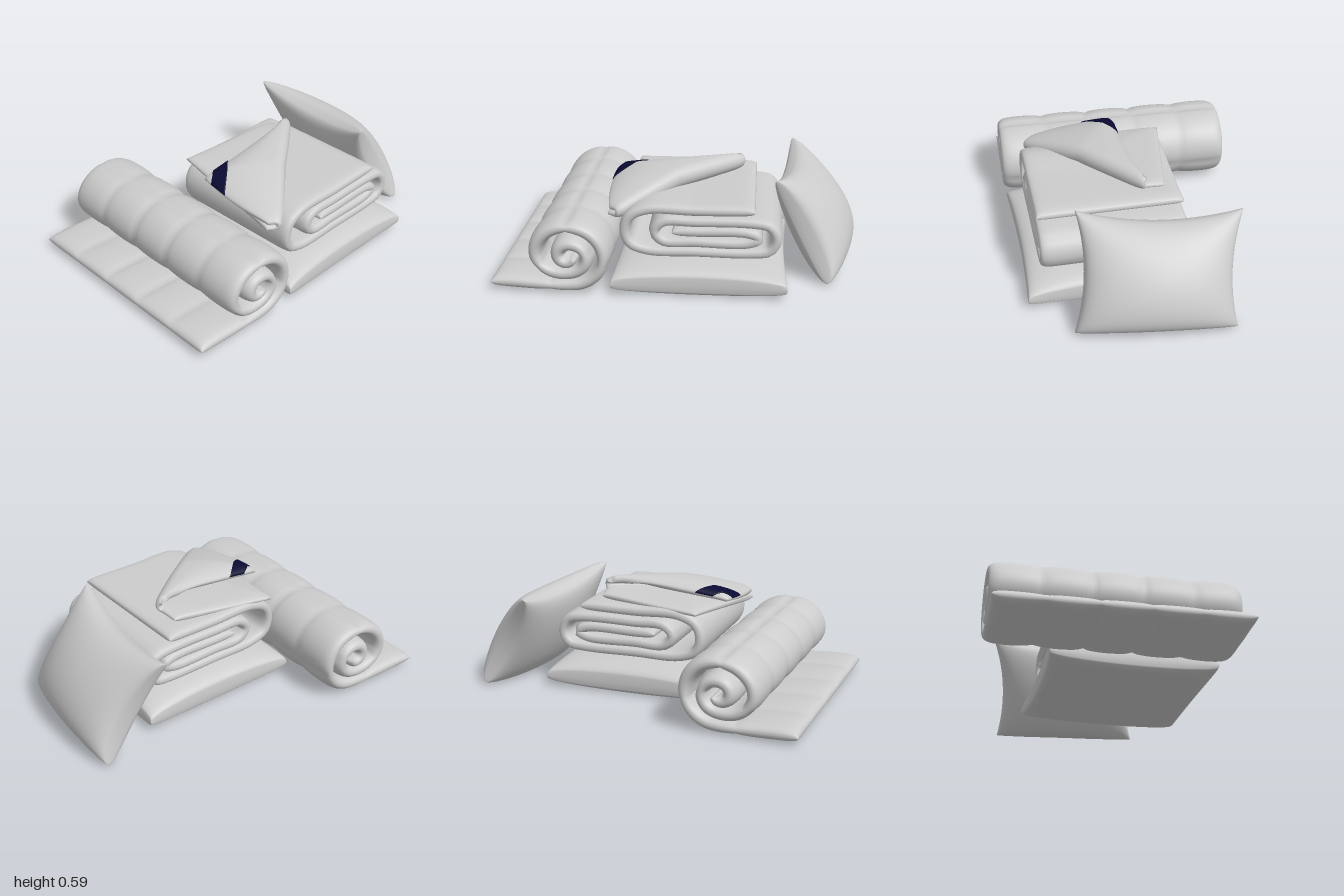
import * as THREE from 'three';
import { mergeVertices } from 'three/addons/utils/BufferGeometryUtils.js';

const V = (x, y, z) => new THREE.Vector3(x, y, z);
const { lerp, smoothstep } = THREE.MathUtils;
const arch = (t) => Math.max(0, Math.sin(Math.PI * t));
const rounded = (t, n) => Math.sqrt(Math.max(0, 1 - Math.abs(2 * t - 1) ** n));

// Unit normal of a parametric surface by finite differences
function normalAt(point, u, v) {
  const e = 0.002;
  const c = (t) => Math.min(1, Math.max(0, t));
  const du = point(c(u + e), v).sub(point(c(u - e), v));
  const dv = point(u, c(v + e)).sub(point(u, c(v - e)));
  return du.cross(dv).normalize();
}

// Closed padded sheet: a centre surface thickened to both sides, resting on the floor
function paddedSheet(point, up, down, nu, nv) {
  const pos = [], index = [];
  const ease = (t) => t - 0.8 * Math.sin(2 * Math.PI * t) / (2 * Math.PI);
  const row = nv + 1, side = (nu + 1) * row;
  for (const sign of [1, -1]) {
    for (let i = 0; i <= nu; i++) {
      for (let j = 0; j <= nv; j++) {
        const u = ease(i / nu), v = ease(j / nv);
        const onRim = i === 0 || j === 0 || i === nu || j === nv;
        const h = onRim ? 0 : (sign > 0 ? up : down)(u, v);
        const p = point(u, v).addScaledVector(normalAt(point, u, v), sign * h);
        pos.push(p.x, Math.max(0, p.y), p.z);
      }
    }
    const base = sign > 0 ? 0 : side;
    for (let i = 0; i < nu; i++) {
      for (let j = 0; j < nv; j++) {
        const a = base + i * row + j, b = a + row, c = a + 1, d = b + 1;
        if (sign > 0) index.push(a, b, c, b, d, c);
        else index.push(a, c, b, b, c, d);
      }
    }
  }
  let geo = new THREE.BufferGeometry();
  geo.setAttribute('position', new THREE.Float32BufferAttribute(pos, 3));
  geo.setIndex(index);
  geo = mergeVertices(geo, 1e-5);
  geo.computeVertexNormals();
  return geo;
}

// Local (a across, b along) to world, turned about y
const placer = (cx, cz, angle) => (a, y, b) => V(
  cx + a * Math.cos(angle) + b * Math.sin(angle), y,
  cz - a * Math.sin(angle) + b * Math.cos(angle));

// Extrudes a centre line of (a, y) points along b
function sweep(points, place, halfWidth) {
  const curve = new THREE.CatmullRomCurve3(points.map(([a, y]) => V(a, y, 0)), false, 'centripetal');
  curve.arcLengthDivisions = 600;
  return (u, v) => {
    const p = curve.getPointAt(u);
    return place(p.x, p.y, lerp(-halfWidth, halfWidth, v));
  };
}

export function createModel() {
  const group = new THREE.Group();
  const cloth = new THREE.MeshStandardMaterial({ color: 0xcccccc });
  cloth.name = 'light grey cloth';
  const navy = new THREE.MeshStandardMaterial({ color: 0x0a0a32 });
  navy.name = 'navy stripe';
  const add = (name, geo, mat = cloth) => {
    const mesh = new THREE.Mesh(geo, mat);
    mesh.name = name;
    group.add(mesh);
  };

  // Quilted mat, partly rolled up: a wide outer turn, then a tight inner coil
  const rollPath = [[-0.31, 0.045], [-0.2, 0.045], [-0.05, 0.04]];
  for (let t = 0; t <= 2 * Math.PI * 2.25; t += Math.PI / 8) {
    const r = 0.163 - 0.067 * smoothstep(t, 4.4, 6.4) - 0.06 * Math.max(0, t / (2 * Math.PI) - 1);
    rollPath.push([0.105 + 1.12 * r * Math.sin(t), 0.203 - r * Math.cos(t)]);
  }
  const quilt = (u, v) => rounded(u, 60) * rounded(v, 36) *
    (0.02 + 0.022 * (Math.abs(Math.sin(5 * Math.PI * v)) * Math.abs(Math.sin(6 * Math.PI * u))) ** 0.3);
  add('rolledMat', paddedSheet(sweep(rollPath, placer(-0.583, 0, 0.165), 0.65), quilt, quilt, 180, 90));

  // Floor cushion with a flat underside
  const cushionPlace = placer(0.205, 0.03, 0.2);
  const cushion = (u, v) => {
    const a = 2 * v - 1, b = 2 * u - 1;
    return cushionPlace(
      0.465 * a * (1 - 0.035 * (1 - b * b)), 0.058, 0.465 * b * (1 - 0.035 * (1 - a * a)));
  };
  const dome = (u, v) => (arch(u) * arch(v)) ** 0.24;
  add('floorCushion', paddedSheet(cushion,
    (u, v) => 0.13 * dome(u, v), (u, v) => 0.058 * Math.min(1, 1.7 * dome(u, v)), 48, 48));

  // Blanket folded into a flat coil
  const foldPath = [
    [0.31, 0.455], [0, 0.45], [-0.25, 0.45], [-0.345, 0.405], [-0.37, 0.33], [-0.345, 0.26],
    [-0.25, 0.222], [0, 0.22], [0.3, 0.22], [0.39, 0.235], [0.425, 0.3], [0.39, 0.37],
    [0.3, 0.388], [0, 0.388], [-0.17, 0.383], [-0.215, 0.33], [-0.17, 0.277], [0, 0.275],
    [0.28, 0.277], [0.335, 0.305], [0.28, 0.332], [0, 0.333], [-0.12, 0.333]];
  const pad = (u, v) => 0.03 * rounded(u, 60) * rounded(v, 20);
  add('foldedBlanket', paddedSheet(sweep(foldPath, placer(0.18, 0.03, 0.2), 0.39), pad, pad, 200, 32));

  // Top layer with one corner turned back along a diagonal fold, drooping at the front
  const bend = (p, q, r, t) => (t < 0.5 ? p.clone().lerp(q, 2 * t) : q.clone().lerp(r, 2 * t - 1));
  const flap = (u, v) => {
    const back = bend(V(-0.21, 0.4, 0.43), V(-0.25, 0.47, -0.29), V(0.33, 0.5, -0.31), u);
    const fold = bend(V(-0.17, 0.4, 0.45), V(0.06, 0.48, 0.12), V(0.36, 0.515, -0.22), u);
    const tip = bend(V(-0.2, 0.43, 0.43), V(-0.295, 0.495, -0.03), V(0.34, 0.56, -0.15), u);
    const r = lerp(0.018, 0.025, u) + 0.014 * arch(u);
    if (v < 0.4) return back.lerp(fold, v / 0.4);
    if (v < 0.6) {
      const t = (v - 0.4) / 0.2 * Math.PI;
      return fold.add(V(0.79 * r * Math.sin(t), r * (1 - Math.cos(t)), 0.61 * r * Math.sin(t)));
    }
    const w = (v - 0.6) / 0.4;
    const p = fold.add(V(0, 2 * r, 0)).lerp(tip, w);
    p.x -= 0.02 * w * arch(Math.min(1, 2 * u));
    p.y += 0.02 * arch(w) * arch(u);
    return p;
  };
  const flapPad = (u, v) => 0.021 * rounded(u, 16) * rounded(v, 16);
  add('turnedBackLayer', paddedSheet(flap, flapPad, flapPad, 64, 80));

  // Stripe across the turned-back corner, roughly parallel to the fold
  const stripe = (s, t) => {
    const d = lerp(lerp(0.62, 0.71, s), 0.87, t);
    const off = lerp(-1, 1, s) * (1 - d) * 0.98;
    const u = 0.5 + off / 2, v = 0.6 + 0.4 * d / (1 - Math.abs(off));
    const n = normalAt(flap, u, v);
    if (n.y < 0) n.negate();
    return flap(u, v).addScaledVector(n, flapPad(u, v) + 0.003);
  };
  add('cornerStripe', paddedSheet(stripe, () => 0.003, () => 0.003, 32, 10), navy);

  // Leaning pillow with pinched corners and a sagging belly
  const pillow = (u, v) => {
    const a = 2 * u - 1, b = 2 * v - 1;
    const s = 0.5 + 0.5 * a * (1 - 0.11 * (1 - b * b));
    const t = v * (1 - 0.09 * (1 - a * a));
    const low = V(0.925, 0.015, 0.15).lerp(V(0.87, 0.015, -0.68), s);
    const high = V(0.625, 0.565, 0.15).lerp(V(0.555, 0.53, -0.7), s);
    return low.lerp(high, t);
  };
  const belly = (u, v) => arch(u) ** 0.32 * arch(v ** 0.75) ** 0.4;
  add('leaningPillow', paddedSheet(pillow,
    (u, v) => 0.185 * belly(u, v), (u, v) => 0.125 * belly(u, v), 56, 56));

  return group;
}
